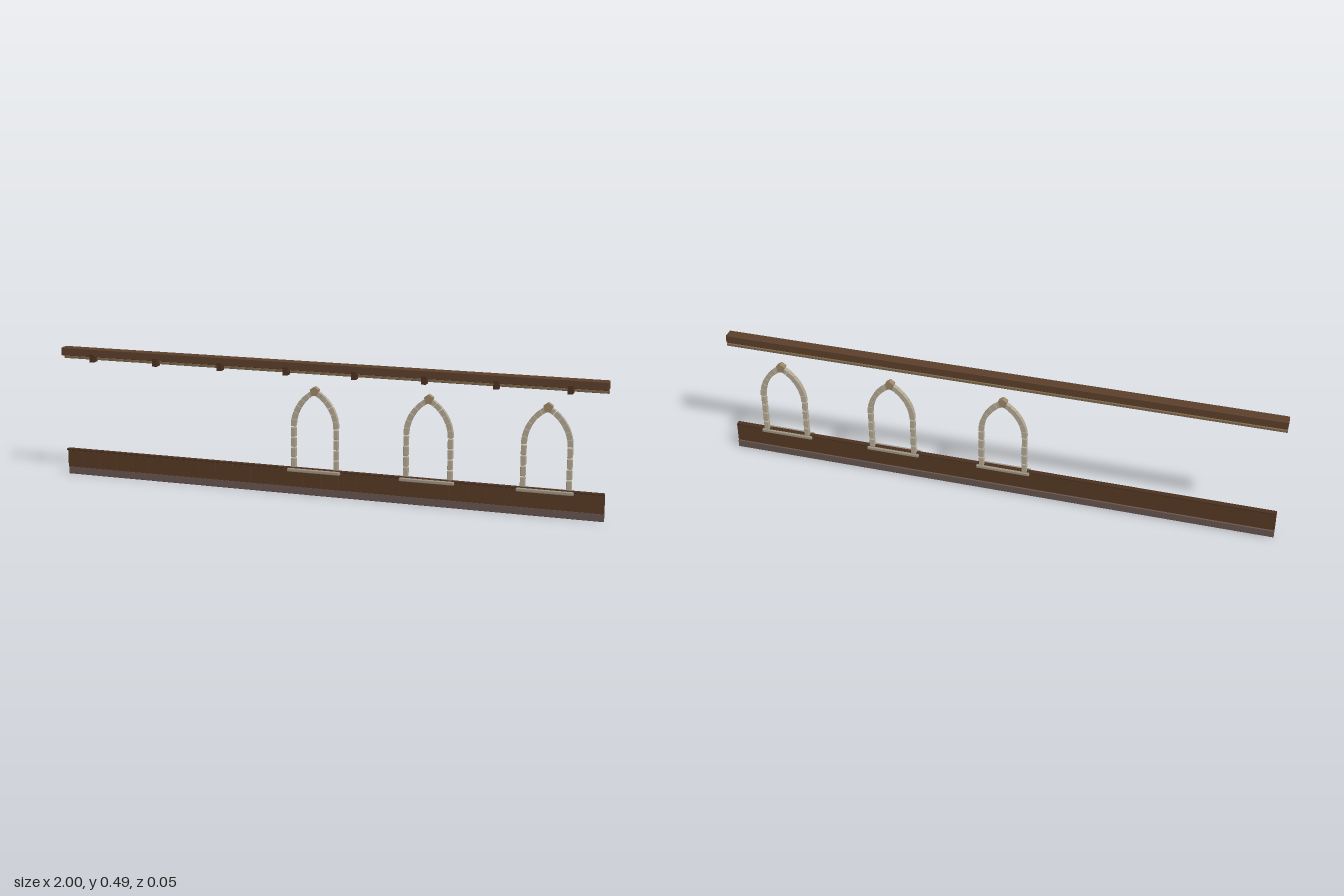
import * as THREE from 'three';
import { RoundedBoxGeometry } from 'three/addons/geometries/RoundedBoxGeometry.js';

const paint = (name, color) => {
  const m = new THREE.MeshStandardMaterial({ color });
  m.name = name;
  return m;
};

export function createModel() {
  const beamWood = paint('beam brown', 0x5c3f2a);
  const darkWood = paint('dark brown', 0x4a3020);
  const wallWood = paint('panel brown', 0x563923);
  const trimWood = paint('trim tan', 0x7d674b);
  const stone = paint('pale stone', 0xb3a893);
  const sillStone = paint('sill stone', 0x9f9583);
  const keyStone = paint('keystone tan', 0x9c8768);
  const plinthStone = paint('plinth grey', 0x67544e);

  const model = new THREE.Group();
  model.name = 'arcadeWall';

  // Box from its extents, with slightly eased edges when r > 0
  const box = (parent, name, mat, [x0, x1], [y0, y1], [z0, z1], r = 0) => {
    const size = [x1 - x0, y1 - y0, z1 - z0];
    const geo = r ? new RoundedBoxGeometry(...size, 1, r) : new THREE.BoxGeometry(...size);
    const mesh = new THREE.Mesh(geo, mat);
    mesh.position.set((x0 + x1) / 2, (y0 + y1) / 2, (z0 + z1) / 2);
    mesh.name = name;
    parent.add(mesh);
    return mesh;
  };
  const full = [-1, 1];

  // Low wall: plinth, backing board and cap rail
  box(model, 'plinth', plinthStone, full, [0, 0.028], [-0.019, -0.007], 0.002);
  box(model, 'wallBoard', wallWood, full, [0.028, 0.095], [-0.014, -0.005]);
  box(model, 'capRail', darkWood, full, [0.094, 0.1], [-0.014, 0.004], 0.001);

  // Raised panels along the front of the low wall
  const panels = 30, pitch = 2 / panels;
  for (let i = 0; i < panels; i++) {
    const x = -1 + (i + 0.5) * pitch;
    box(model, 'wallPanel', wallWood, [x - 0.03, x + 0.03], [0.036, 0.092], [-0.006, -0.002]);
  }

  // Top beam, trim strip and brackets
  box(model, 'topBeam', beamWood, full, [0.457, 0.486], [-0.021, 0.018], 0.002);
  box(model, 'beamTrim', trimWood, full, [0.443, 0.453], [-0.019, -0.004], 0.002);
  for (let i = 0; i < 8; i++) {
    const x = -0.875 + i * 0.25;
    box(model, 'bracket', darkWood, [x - 0.009, x + 0.009], [0.438, 0.468], [-0.006, 0.023], 0.001);
  }

  // Pointed arch dimensions
  const spring = 0.25, half = 0.079, offset = 0.065, radius = half + offset;
  const sweep = Math.acos(offset / radius), count = 6, thick = 0.018;
  const extrude = (shape, depth, z, mat, name) => {
    const geo = new THREE.ExtrudeGeometry(shape, { depth, bevelEnabled: false, curveSegments: 3 });
    const mesh = new THREE.Mesh(geo.translate(0, 0, z), mat);
    mesh.name = name;
    return mesh;
  };

  const makeArch = (x) => {
    const arch = new THREE.Group();
    arch.name = 'stoneArch';
    arch.position.x = x;
    box(arch, 'sill', sillStone, [-0.098, 0.098], [0.087, 0.099], [-0.022, 0.014], 0.003);
    for (const side of [-1, 1]) {
      // Jamb blocks
      for (let i = 0; i < 4; i++) {
        const y = 0.1 + i * 0.0375;
        const cx = side * half;
        box(arch, 'jambStone', stone, [cx - 0.009, cx + 0.009], [y, y + 0.034], [-0.02, -0.004], 0.002);
      }
      // Curved voussoirs
      for (let i = 0; i < count; i++) {
        const a = (i / count) * sweep + 0.006, b = ((i + 1) / count) * sweep - 0.006;
        const from = side > 0 ? a : Math.PI - b;
        const to = side > 0 ? b : Math.PI - a;
        const shape = new THREE.Shape();
        shape.absarc(-side * offset, spring, radius + thick / 2, from, to, false);
        shape.absarc(-side * offset, spring, radius - thick / 2, to, from, true);
        arch.add(extrude(shape, 0.017, -0.021, stone, 'voussoir'));
      }
    }
    // Keystone at the apex
    const key = new THREE.Shape([
      [0, 0.399], [-0.016, 0.388], [-0.01, 0.366], [0.01, 0.366], [0.016, 0.388],
    ].map(([px, py]) => new THREE.Vector2(px, py)));
    arch.add(extrude(key, 0.02, -0.0215, keyStone, 'keystone'));
    return arch;
  };
  for (const x of [-0.026, 0.387, 0.799]) model.add(makeArch(x));

  return model;
}
